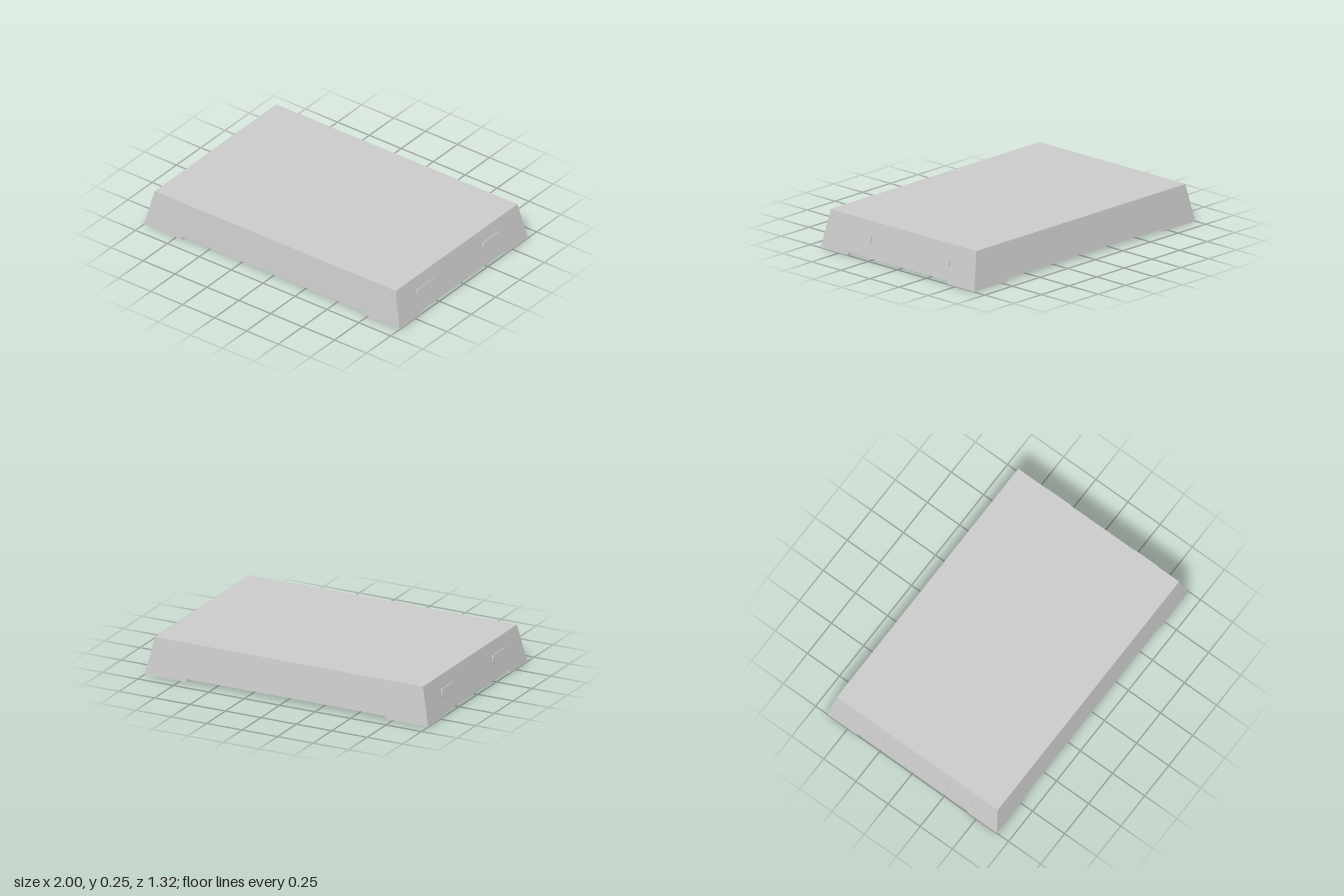
import * as THREE from 'three';

const HEIGHT = 0.248, FOOT = 0.02;
const halfX = (y) => 1 - 0.055 * y / HEIGHT;
const halfZ = (y) => 0.66 - 0.034 * y / HEIGHT;
const material = new THREE.MeshStandardMaterial({ color: 0xcccccc });

// Box between two corners, with its sides trimmed to the sloping walls
function slopedBox(name, min, max) {
  const geo = new THREE.BoxGeometry(max[0] - min[0], max[1] - min[1], max[2] - min[2]);
  geo.translate((min[0] + max[0]) / 2, (min[1] + max[1]) / 2, (min[2] + max[2]) / 2);
  const p = geo.attributes.position;
  for (let i = 0; i < p.count; i++) {
    const hx = halfX(p.getY(i)), hz = halfZ(p.getY(i));
    p.setX(i, THREE.MathUtils.clamp(p.getX(i), -hx, hx));
    p.setZ(i, THREE.MathUtils.clamp(p.getZ(i), -hz, hz));
  }
  geo.computeVertexNormals();
  const mesh = new THREE.Mesh(geo, material);
  mesh.name = name;
  return mesh;
}

// Raised pad outline with rounded corners
function roundedRect(w, h, r) {
  const s = new THREE.Shape();
  s.absarc(w / 2 - r, h / 2 - r, r, 0, Math.PI / 2);
  s.absarc(-w / 2 + r, h / 2 - r, r, Math.PI / 2, Math.PI);
  s.absarc(-w / 2 + r, -h / 2 + r, r, Math.PI, Math.PI * 1.5);
  s.absarc(w / 2 - r, -h / 2 + r, r, Math.PI * 1.5, Math.PI * 2);
  s.closePath();
  return s;
}

export function createModel() {
  const model = new THREE.Group();
  model.name = 'platform';

  // Main tapered slab
  model.add(slopedBox('body', [-1, FOOT, -0.66], [1, HEIGHT, 0.66]));

  // Corner feet, flush with the walls
  for (const [x0, x1] of [[-1, -0.7], [0.7, 1]]) {
    for (const [z0, z1] of [[-0.66, -0.425], [0.43, 0.66]]) {
      model.add(slopedBox('foot', [x0, 0, z0], [x1, FOOT, z1]));
    }
  }

  // Two raised grips on each end wall, lying on the slope
  const gripGeo = new THREE.ExtrudeGeometry(roundedRect(0.192, 0.057, 0.02),
    { depth: 0.012, bevelEnabled: false, curveSegments: 6 });
  gripGeo.translate(0, 0, -0.004);
  const slope = Math.atan(0.055 / HEIGHT);
  for (const side of [-1, 1]) {
    for (const z of [-0.33, 0.346]) {
      const grip = new THREE.Mesh(gripGeo, material);
      grip.name = 'grip';
      grip.rotation.set(-slope, side * Math.PI / 2, 0, 'YXZ');
      grip.position.set(side * halfX(0.139), 0.139, z);
      model.add(grip);
    }
  }
  return model;
}
